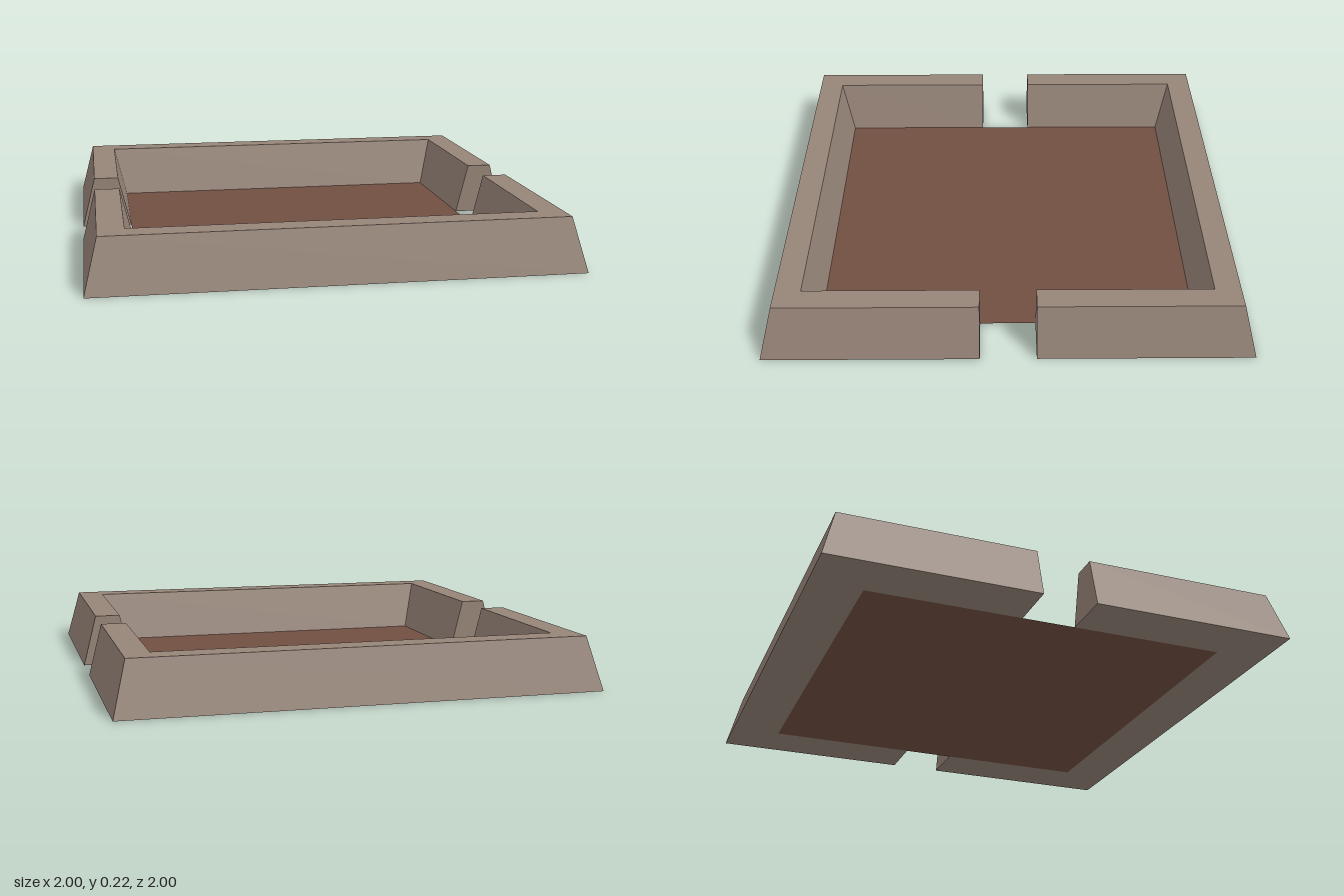
import * as THREE from 'three';

const HEIGHT = 0.223;
const GAP = 0.115; // half the opening in each side wall
const FLOOR = 0.78;

// Wall cross-section: distance from the centre, height
const PROFILE = [[1, 0], [0.943, HEIGHT], [0.835, HEIGHT], [FLOOR, 0]];

// U-shaped wall: sweep the profile from one opening round two corners to the other
function wallGeometry() {
  const stations = [[1, false], [1, true], [-1, true], [-1, false]];
  const rings = stations.map(([side, corner]) =>
    PROFILE.map(([d, y]) => [side * d, y, corner ? d : GAP]));
  const positions = [];
  const quad = (a, b, c, d) => [a, b, c, a, c, d].forEach((p) => positions.push(...p));

  for (let s = 0; s < 3; s++) {
    for (let p = 0; p < 4; p++) {
      const q = (p + 1) % 4;
      quad(rings[s][p], rings[s][q], rings[s + 1][q], rings[s + 1][p]);
    }
  }
  // End faces at the openings
  const [a, b, c, d] = rings[0];
  quad(a, d, c, b);
  quad(...rings[3]);

  const geometry = new THREE.BufferGeometry();
  geometry.setAttribute('position', new THREE.Float32BufferAttribute(positions, 3));
  geometry.computeVertexNormals();
  return geometry;
}

export function createModel() {
  const stone = new THREE.MeshStandardMaterial({ color: 0x968478 });
  stone.name = 'stone';
  const earth = new THREE.MeshStandardMaterial({ color: 0x724f42, side: THREE.DoubleSide });
  earth.name = 'earth';

  const model = new THREE.Group();
  model.name = 'walledCourt';

  // Front and back wall halves
  const geometry = wallGeometry();
  ['frontWall', 'backWall'].forEach((name, i) => {
    const wall = new THREE.Mesh(geometry, stone);
    wall.name = name;
    wall.rotation.y = i * Math.PI;
    model.add(wall);
  });

  // Flat floor between the walls
  const floor = new THREE.Mesh(new THREE.PlaneGeometry(2 * FLOOR, 2 * FLOOR), earth);
  floor.name = 'floor';
  floor.rotation.x = -Math.PI / 2;
  model.add(floor);

  return model;
}
